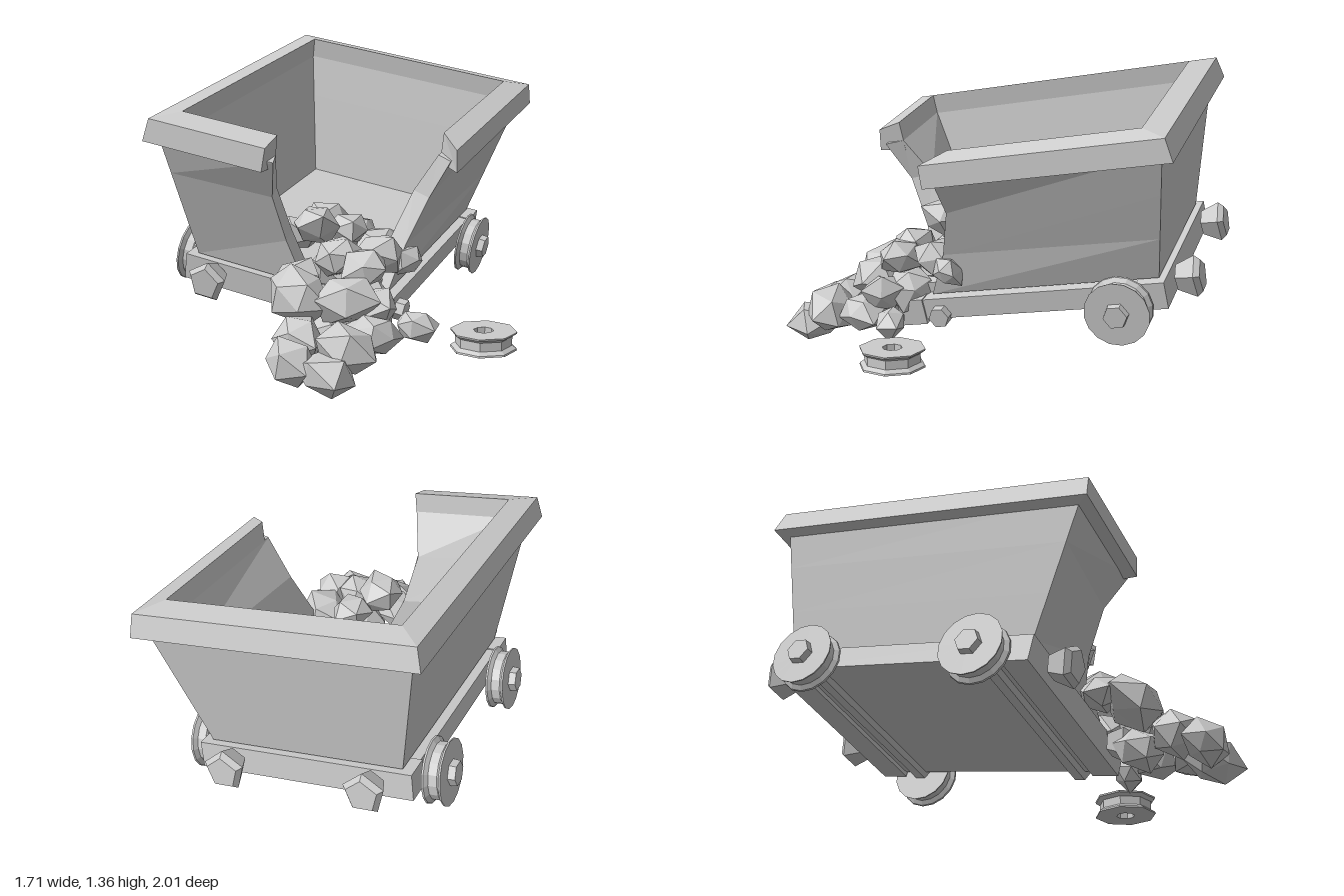
import * as THREE from 'three';

const mat = new THREE.MeshStandardMaterial({ color: 0xcccccc, flatShading: true });
const thinMat = new THREE.MeshStandardMaterial({ color: 0xcccccc, flatShading: true, side: THREE.DoubleSide });

function add(parent, name, geometry, x = 0, y = 0, z = 0, material = mat) {
  const mesh = new THREE.Mesh(geometry, material);
  mesh.name = name;
  mesh.position.set(x, y, z);
  parent.add(mesh);
  return mesh;
}

// Joins equal-length cross-sections into a solid strip and closes both ends.
function loft(sections) {
  const n = sections[0].length, index = [];
  for (let i = 0; i < sections.length - 1; i++) {
    for (let j = 0; j < n; j++) {
      const a = i * n + j, b = i * n + (j + 1) % n;
      index.push(a, a + n, b + n, a, b + n, b);
    }
  }
  const last = (sections.length - 1) * n;
  for (let j = 0; j < n / 2 - 1; j++) {
    const [a, b, c, d] = [j, j + 1, n - 2 - j, n - 1 - j];
    index.push(a, b, c, a, c, d);
    index.push(last + a, last + c, last + b, last + a, last + d, last + c);
  }
  const g = new THREE.BufferGeometry();
  g.setAttribute('position', new THREE.Float32BufferAttribute(sections.flat(2), 3));
  g.setIndex(index);
  const flat = g.toNonIndexed();
  flat.computeVertexNormals();
  return flat;
}

// Runs a profile round the tub from the torn right side to the torn front.
// Each profile point is [half width, height, half length]; dent bends the torn edges inwards.
function aroundTub(profile, sideTear, frontTear, dent) {
  return loft([
    profile.map(([u, h], i) => [u - dent[i], h, sideTear[i]]),
    profile.map(([u, h, v]) => [u, h, -v]),
    profile.map(([u, h, v]) => [-u, h, -v]),
    profile.map(([u, h, v]) => [-u, h, v]),
    profile.map(([, h, v], i) => [frontTear[i], h, v - dent[i]]),
  ]);
}

// Spool-shaped wheel, axis along y.
function wheelGeometry(hole, sides) {
  const profile = [
    [hole, -0.042], [0.15, -0.042], [0.148, -0.034], [0.128, -0.02], [0.128, 0.02],
    [0.148, 0.034], [0.15, 0.042], [hole, 0.042], [hole, -0.042],
  ].map(([r, y]) => new THREE.Vector2(r, y));
  return new THREE.LatheGeometry(profile, sides);
}

function seeded(seed) {
  return () => {
    seed = (seed * 16807) % 2147483647;
    return seed / 2147483647;
  };
}

// Irregular faceted lump, wider than tall; shared corners move together.
function rockGeometry(r, rand) {
  const g = new THREE.IcosahedronGeometry(r, 0);
  const p = g.attributes.position, moved = new Map(), v = new THREE.Vector3();
  const stretch = [1.02 + rand() * 0.25, 0.8 + rand() * 0.2, 0.9 + rand() * 0.2];
  for (let i = 0; i < p.count; i++) {
    v.fromBufferAttribute(p, i);
    const key = v.toArray().map((c) => Math.round(c * 1000)).join();
    if (!moved.has(key)) moved.set(key, 0.78 + rand() * 0.42);
    v.multiplyScalar(moved.get(key));
    p.setXYZ(i, v.x * stretch[0], v.y * stretch[1], v.z * stretch[2]);
  }
  g.computeVertexNormals();
  return g;
}

export function createModel() {
  const model = new THREE.Group();
  model.name = 'brokenMineCart';

  // Tilted cart; its own origin is the middle of the tub floor
  const cart = new THREE.Group();
  cart.name = 'cart';
  cart.position.set(-0.2, 0.45, -0.19);
  cart.rotation.set(0.163, 0, -0.175);
  model.add(cart);

  // Flared tub walls with a torn corner
  const heights = [0, 0.2, 0.42, 0.62];
  const outer = heights.map((h) => [0.455 + 0.25 * h, h, 0.62 + 0.25 * h]);
  const inner = heights.map((h) => [0.39 + 0.235 * h, h, 0.535 + 0.25 * h]).reverse();
  add(cart, 'tubWalls', aroundTub(
    [...outer, ...inner],
    [0.48, 0.37, 0.28, 0.28, 0.24, 0.24, 0.34, 0.46],
    [0.1, 0, -0.06, -0.03, -0.06, -0.09, -0.02, 0.1],
    [0, 0.03, 0.03, 0, 0, 0.05, 0.05, 0],
  ), 0, 0, 0, thinMat);

  // Heavy rim along the top of the walls
  add(cart, 'rim', aroundTub(
    [[0.655, 0.585, 0.825], [0.64, 0.69, 0.805], [0.535, 0.715, 0.69], [0.535, 0.57, 0.69]],
    [0.31, 0.31, 0.2, 0.2],
    [-0.06, -0.06, -0.06, -0.06],
    [0, 0, 0, 0],
  ), 0, 0, 0, thinMat);

  // Floor and undercarriage
  add(cart, 'floor', new THREE.BoxGeometry(0.82, 0.06, 1.14), 0, 0.01, 0);
  add(cart, 'frame', new THREE.BoxGeometry(0.99, 0.1, 1.24), 0, -0.06, 0);
  for (const s of [-1, 1]) {
    add(cart, 'endBeam', new THREE.BoxGeometry(1.01, 0.125, 0.13), 0, -0.0675, s * 0.585);
    const axle = add(cart, 'axle', new THREE.CylinderGeometry(0.05, 0.05, 1.08, 6), 0, -0.09, s * 0.44);
    axle.rotation.z = Math.PI / 2;

    // Five-sided buffers, widest at the outer end, one corner upwards
    for (const x of [-0.33, 0.33]) {
      const buffer = new THREE.CylinderGeometry(0.098, 0.06, 0.09, 5);
      const cap = new THREE.CylinderGeometry(0.075, 0.098, 0.025, 5);
      for (const [name, part, z] of [['buffer', buffer, 0.69], ['bufferCap', cap, 0.7475]]) {
        if (s > 0) part.rotateY(Math.PI);
        add(cart, name, part, x, -0.055, s * (z + 0.025)).rotation.x = s * Math.PI / 2;
      }
    }
  }

  // Three wheels still on their axles
  for (const [side, z] of [[-1, -0.44], [-1, 0.42], [1, -0.44]]) {
    const wheel = new THREE.Group();
    wheel.name = 'wheel';
    wheel.position.set(side * 0.56, -0.1, z);
    wheel.rotation.z = -side * Math.PI / 2;
    add(wheel, 'wheelSpool', wheelGeometry(0.02, 16));
    add(wheel, 'wheelHub', new THREE.CylinderGeometry(0.055, 0.06, 0.05, 6), 0, 0.05, 0);
    cart.add(wheel);
  }

  // Lost wheel lying on the ground
  const lostWheel = add(model, 'lostWheel', wheelGeometry(0.045, 8), 0.71, 0.13, 0.27);
  lostWheel.rotation.y = 0.2;

  // Rocks spilling out through the torn corner: x, y, z, radius
  const rocks = [
    [-0.2, 0.53, -0.04, 0.115], [-0.02, 0.5, -0.02, 0.09], [0.12, 0.46, 0.08, 0.1],
    [-0.28, 0.49, 0.14, 0.1], [-0.34, 0.45, 0.32, 0.07], [-0.08, 0.6, 0.35, 0.1],
    [0.02, 0.56, 0.2, 0.09], [0.2, 0.47, 0.25, 0.11], [0.29, 0.42, 0.17, 0.08],
    [0.43, 0.2, 0.4, 0.085], [0.08, 0.49, 0.44, 0.11], [0.22, 0.45, 0.46, 0.1],
    [-0.1, 0.38, 0.5, 0.1], [-0.03, 0.35, 0.62, 0.13], [0.18, 0.33, 0.58, 0.12],
    [0.32, 0.2, 0.6, 0.11], [0.1, 0.17, 0.6, 0.11], [0.05, 0.2, 0.79, 0.115],
    [0.28, 0.18, 0.79, 0.12], [0.06, 0.13, 0.91, 0.105], [0.22, 0.095, 0.89, 0.115],
    [0.2, 0.3, 0.4, 0.12], [0.02, 0.4, 0.3, 0.12], [0.28, 0.29, 0.5, 0.1],
  ];
  const rand = seeded(71);
  const pile = new THREE.Group();
  pile.name = 'rockPile';
  model.add(pile);
  for (const [x, y, z, r] of rocks) {
    const rock = add(pile, 'rock', rockGeometry(r * 1.05, rand), x, y, z);
    rock.rotation.set((rand() - 0.5) * 0.6, (rand() - 0.5) * 1.6, (rand() - 0.5) * 0.5);
  }
  return model;
}
